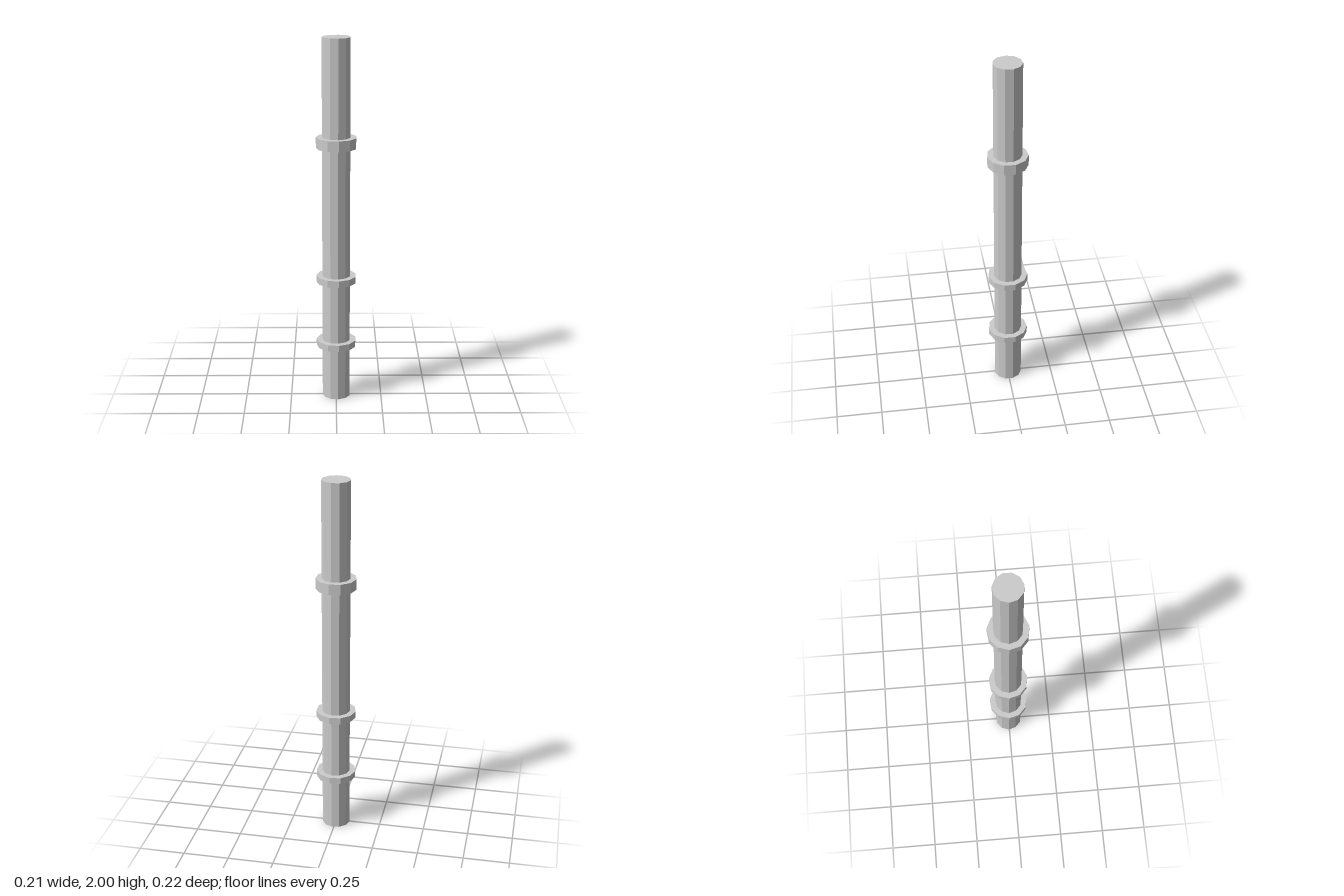
import * as THREE from 'three';

const SIDES = 11;
const TURN = 0.12; // rotation of the eleven-sided section

export function createModel() {
  const group = new THREE.Group();
  group.name = 'bandedPole';
  const material = new THREE.MeshStandardMaterial({ color: 0xcccccc, flatShading: true });

  // Upright prism between two heights
  const addPrism = (name, radius, bottom, top) => {
    const geometry = new THREE.CylinderGeometry(radius, radius, top - bottom, SIDES, 1, false, TURN);
    const mesh = new THREE.Mesh(geometry, material);
    mesh.name = name;
    mesh.position.set(0.001, (bottom + top) / 2, -0.001);
    group.add(mesh);
  };

  // Shaft
  addPrism('shaft', 0.0765, 0, 2);

  // Collars around the shaft
  const collars = [
    ['lowerCollar', 0.297, 0.333],
    ['middleCollar', 0.668, 0.705],
    ['upperCollar', 1.415, 1.473],
  ];
  for (const [name, bottom, top] of collars) addPrism(name, 0.109, bottom, top);

  return group;
}
